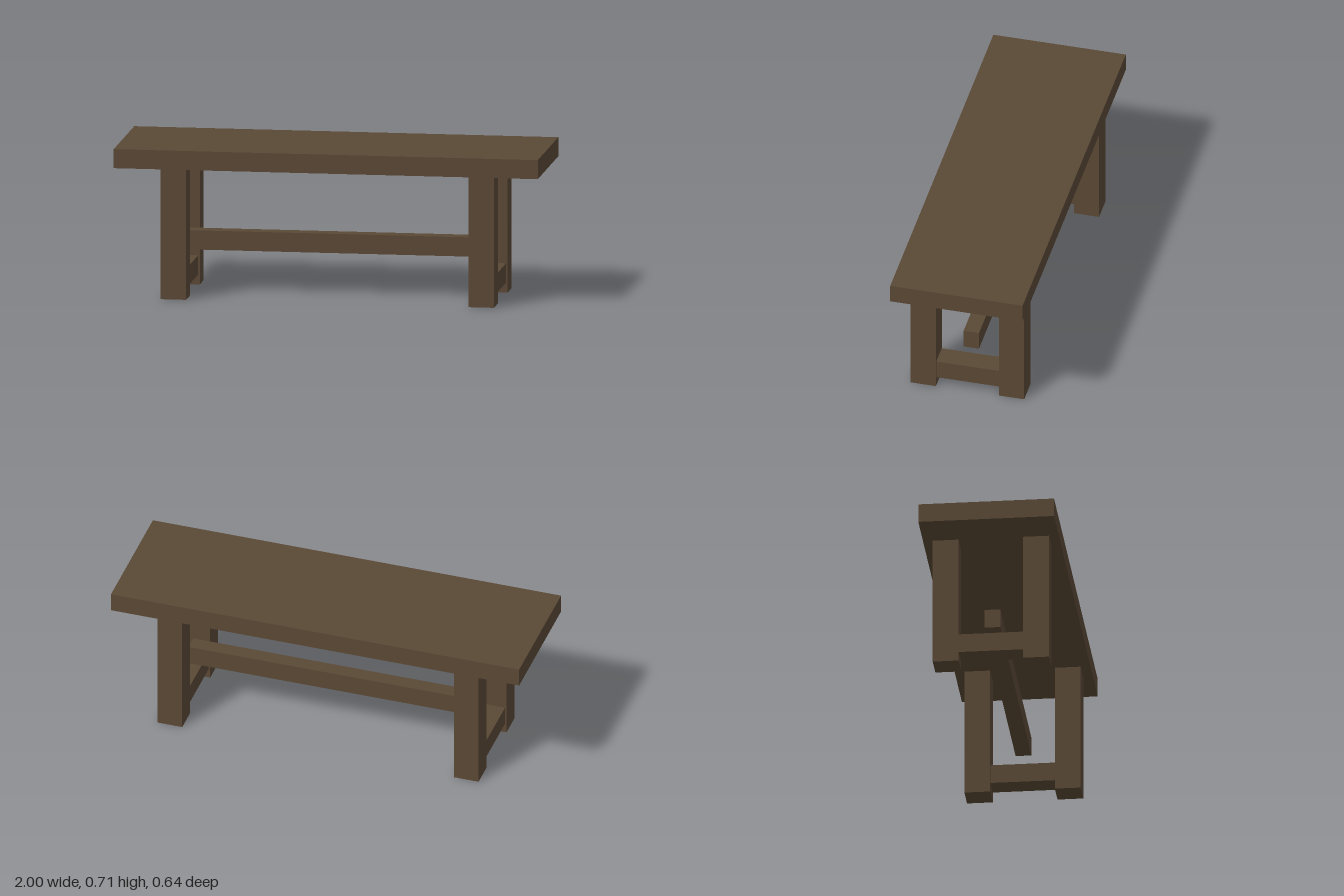
import * as THREE from 'three';

export function createModel() {
  const model = new THREE.Group();
  model.name = 'trestleBench';
  const wood = new THREE.MeshStandardMaterial({ color: 0x5a4835 });
  wood.name = 'darkWood';

  // Box plank sized w, h, d, standing with its underside at y
  function plank(name, w, h, d, x, y, z) {
    const mesh = new THREE.Mesh(new THREE.BoxGeometry(w, h, d), wood);
    mesh.name = name;
    mesh.position.set(x, y + h / 2, z);
    model.add(mesh);
  }

  const top = 0.712, thickness = 0.09;
  const legX = 0.726, legZ = 0.212, legSize = 0.121;

  plank('top', 2, thickness, 0.636, 0, top - thickness, 0);

  // Long beam between the two ends
  plank('longStretcher', 1.424, 0.091, 0.074, 0, 0.198, 0);

  // Each end: two legs joined by a low crossbar
  for (const [side, sx] of [['left', 1], ['right', -1]]) {
    plank(side + 'Crossbar', 0.106, 0.091, 0.303, sx * legX, 0.047, 0);
    for (const [end, sz] of [['Front', 1], ['Back', -1]]) {
      plank(side + end + 'Leg', legSize, top - thickness, legSize, sx * legX, 0, sz * legZ);
    }
  }
  return model;
}
